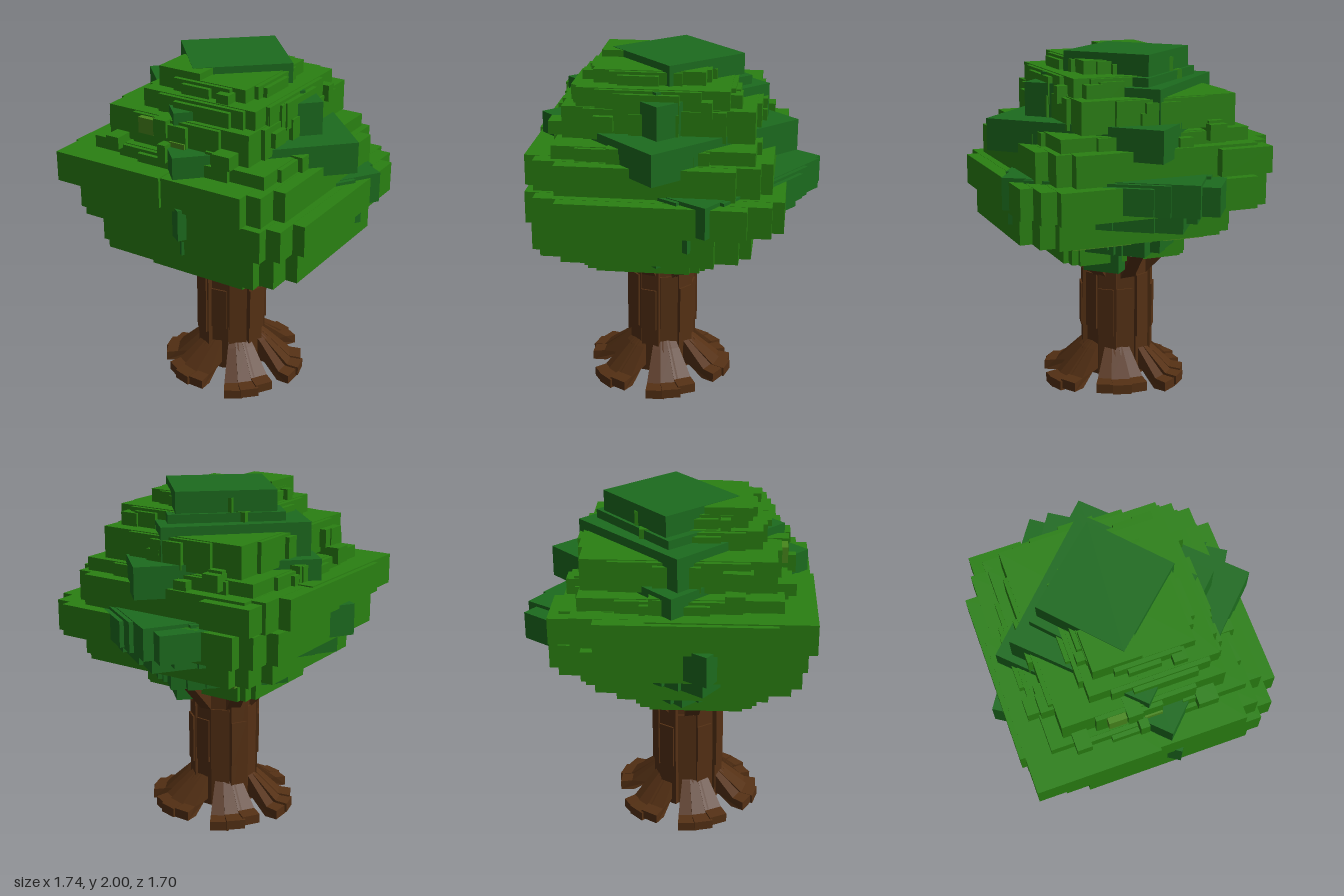
import * as THREE from 'three';

const mat = (color) => new THREE.MeshStandardMaterial({ color, flatShading: true });

export function createModel() {
  const tree = new THREE.Group();
  tree.name = 'blockyTree';
  const green = mat(0x2a8012), darkGreen = mat(0x1c6b1e), olive = mat(0x48881c), bark = mat(0x543014);

  let seed = 11;
  const rnd = (lo = 0, hi = 1) => {
    seed = (seed * 16807) % 2147483647;
    return lo + (hi - lo) * seed / 2147483647;
  };

  const add = (parent, name, geometry, material) => {
    const mesh = new THREE.Mesh(geometry, material);
    mesh.name = name;
    parent.add(mesh);
    return mesh;
  };

  // Box given by its extents inside the parent's turned frame
  const block = (parent, name, [a0, a1, b0, b1, y0, y1], material) =>
    add(parent, name, new THREE.BoxGeometry(a1 - a0, y1 - y0, b1 - b0), material)
      .position.set((a0 + a1) / 2, (y0 + y1) / 2, (b0 + b1) / 2);

  const crown = new THREE.Group();
  crown.name = 'crown';
  tree.add(crown);
  const turnedGroup = (name, degrees) => {
    const g = new THREE.Group();
    g.name = name;
    g.rotation.y = THREE.MathUtils.degToRad(degrees);
    crown.add(g);
    return g;
  };

  // ---- Broad crown layers: three crossing slabs give stepped corners ----
  const broadLayer = (a0, a1, b0, b1, y0, y1, step) => {
    const g = turnedGroup('broadLayer', 15);
    for (let i = 0; i < 3; i++) {
      const da = step * [0, 0.4, 1.2][i], db = step * [1, 0.45, 0][i], dy = 0.001 * i;
      block(g, 'leafSlab', [a0 + da, a1 - da, b0 + db, b1 - db, y0 + dy, y1 - dy], green);
    }
  };
  broadLayer(-0.41, 0.29, -0.37, 0.39, 0.8, 0.98, 0.07);
  broadLayer(-0.66, 0.56, -0.58, 0.7, 0.98, 1.16, 0.16);
  broadLayer(-0.68, 0.735, -0.72, 0.75, 1.16, 1.34, 0.16);
  broadLayer(-0.7, 0.665, -0.75, 0.64, 1.34, 1.515, 0.16);

  // ---- Single turned slabs, some with rims and small leaf blocks ----
  const leafLayer = (degrees, extents, material, bits = 0) => {
    const g = turnedGroup('leafLayer', degrees);
    block(g, 'leafSlab', extents, material);
    const [a0, a1, b0, b1, y0, y1] = extents;
    for (let side = 0; bits && side < 4; side++) {
      const alongA = side < 2, outward = side % 2 ? 1 : -1;
      const [lo, hi] = alongA ? [a0, a1] : [b0, b1];
      const edge = alongA ? [b0, b1][side % 2] : [a0, a1][side % 2];
      const strip = (s0, s1, out, h0, h1, name) => {
        const e = [edge - outward * 0.1, edge + outward * out].sort((p, q) => p - q);
        block(g, name, alongA ? [s0, s1, ...e, h0, h1] : [...e, s0, s1, h0, h1], material);
      };
      // Two stepped rim strips that notch the corners
      const len = hi - lo;
      strip(lo + len * rnd(0.1, 0.2), hi - len * rnd(0.12, 0.25), 0.025, y0 + 0.004, y1 - 0.004, 'leafRim');
      strip(lo + len * rnd(0.22, 0.4), hi - len * rnd(0.28, 0.42), 0.05, y0 + 0.012, y1 - 0.02, 'leafRim');
      // Small blocks straddling the edge
      for (let i = 0; i < bits; i++) {
        const s = lo + len * rnd(0.1, 0.85), h = y0 + rnd(-0.05, 0.1);
        strip(s, s + rnd(0.05, 0.12), rnd(0.04, 0.08), h, h + rnd(0.07, 0.11), 'leafBlock');
      }
    }
  };

  // Slabs woven through the broad layers
  leafLayer(-30, [-0.08, 0.3, -0.16, 0.06, 0.74, 0.96], darkGreen);
  leafLayer(-30, [-0.32, 0.36, -0.34, 0.32, 0.87, 1.06], darkGreen, 2);
  leafLayer(15, [-0.44, 0.44, -0.38, 0.42, 0.94, 1], olive);
  leafLayer(-20, [-0.5, 0.6, -0.52, 0.46, 1.07, 1.2], darkGreen, 1);
  leafLayer(-18, [-0.55, 0.7, -0.6, 0.48, 1.18, 1.36], darkGreen, 1);
  leafLayer(-20, [0.32, 0.62, -0.72, 0, 1.18, 1.34], darkGreen);
  leafLayer(15, [-0.718, 0.2, -0.721, -0.02, 1.345, 1.52], green);
  leafLayer(15, [0, 0.722, -0.655, -0.344, 1.35, 1.5], green);

  // Upper dome
  leafLayer(-30, [-0.45, 0.58, -0.53, 0.52, 1.46, 1.64], darkGreen);
  leafLayer(15, [-0.54, 0.57, -0.58, 0.53, 1.5, 1.59], green, 3);
  leafLayer(15, [-0.5, 0.56, -0.5, 0.41, 1.6, 1.78], green, 2);
  leafLayer(-30, [-0.41, 0.42, -0.45, 0.36, 1.64, 1.83], darkGreen);
  leafLayer(15, [-0.42, 0.42, -0.05, 0.4, 1.7, 1.885], green, 1);
  leafLayer(15, [-0.42, 0.25, -0.32, 0.39, 1.7, 1.884], green, 1);
  leafLayer(-33, [-0.3, 0.35, -0.38, 0.28, 1.78, 1.88], darkGreen);
  leafLayer(15, [-0.34, 0.28, -0.25, 0.29, 1.78, 1.96], green, 1);
  leafLayer(-33, [-0.254, 0.305, -0.36, 0.16, 1.82, 2], darkGreen);
  leafLayer(15, [-0.34, -0.1, -0.27, 0, 1.84, 1.998], green);

  // Lighter tufts on the left-hand steps
  for (let i = 0; i < 2; i++) {
    const b = -0.26 + 0.2 * i, y = 1.68 - 0.1 * i;
    leafLayer(15, [-0.56, -0.48, b, b + 0.1, y, y + 0.09], olive);
  }

  // ---- Trunk: core wrapped in upright bark planks ----
  const trunk = new THREE.Group();
  trunk.name = 'trunk';
  trunk.position.z = -0.02;
  tree.add(trunk);
  add(trunk, 'trunkCore', new THREE.CylinderGeometry(0.18, 0.18, 0.9, 12), bark).position.y = 0.5;
  const ring = (count, fn) => {
    for (let i = 0; i < count; i++) {
      const g = new THREE.Group();
      g.name = 'barkSection';
      g.rotation.y = (i + 0.25) / count * Math.PI * 2;
      trunk.add(g);
      fn(g, i);
    }
  };
  ring(11, (g, i) => {
    const r = 0.195 + 0.012 * (i % 3);
    block(g, 'barkPlank', [0.1, r - 0.01, -0.058, 0.05, 0.06, 0.85], bark);
    block(g, 'barkPlate', [0.1, r, -0.045, 0.05, 0.32 + rnd(-0.04, 0.04), 0.6 + 0.08 * (i % 2)], bark);
  });
  // Short limbs flaring into the crown
  ring(7, (g) => {
    const limb = add(g, 'limb', new THREE.BoxGeometry(0.075, 0.28, 0.085), bark);
    limb.position.set(0.225, 0.765, 0);
    limb.rotation.z = -0.75;
  });

  // ---- Roots: separate fans of sloping planks, lifted a little at the sides ----
  const rootProfile = (reach, lift) => new THREE.Shape([
    [0.1, 0.1], [0.24, 0.09], [reach - 0.08, lift], [reach, lift],
    [reach, lift + 0.055], [reach - 0.07, lift + 0.065], [0.21, 0.22], [0.1, 0.31]
  ].map(([x, y]) => new THREE.Vector2(x, y)));
  for (let i = 0; i < 6; i++) {
    const fan = new THREE.Group();
    fan.name = 'root';
    tree.add(fan);
    const lift = i % 3 === 0 ? 0.04 : 0;
    for (let k = -1; k <= 1; k++) {
      const width = 0.11;
      const plank = add(fan, 'rootPlank', new THREE.ExtrudeGeometry(
        rootProfile(0.43 - 0.012 * Math.abs(k), lift + (lift ? 0 : 0.012 * (k + 1))),
        { depth: width, bevelEnabled: false }).translate(0, 0, -width / 2), bark);
      // Narrow each plank towards the trunk
      const p = plank.geometry.attributes.position;
      for (let v = 0; v < p.count; v++) p.setZ(v, p.getZ(v) * Math.min(1, p.getX(v) / 0.4 + 0.1));
      plank.geometry.computeVertexNormals();
      plank.rotation.y = i * Math.PI / 3 + k * 0.23;
    }
  }
  return tree;
}
